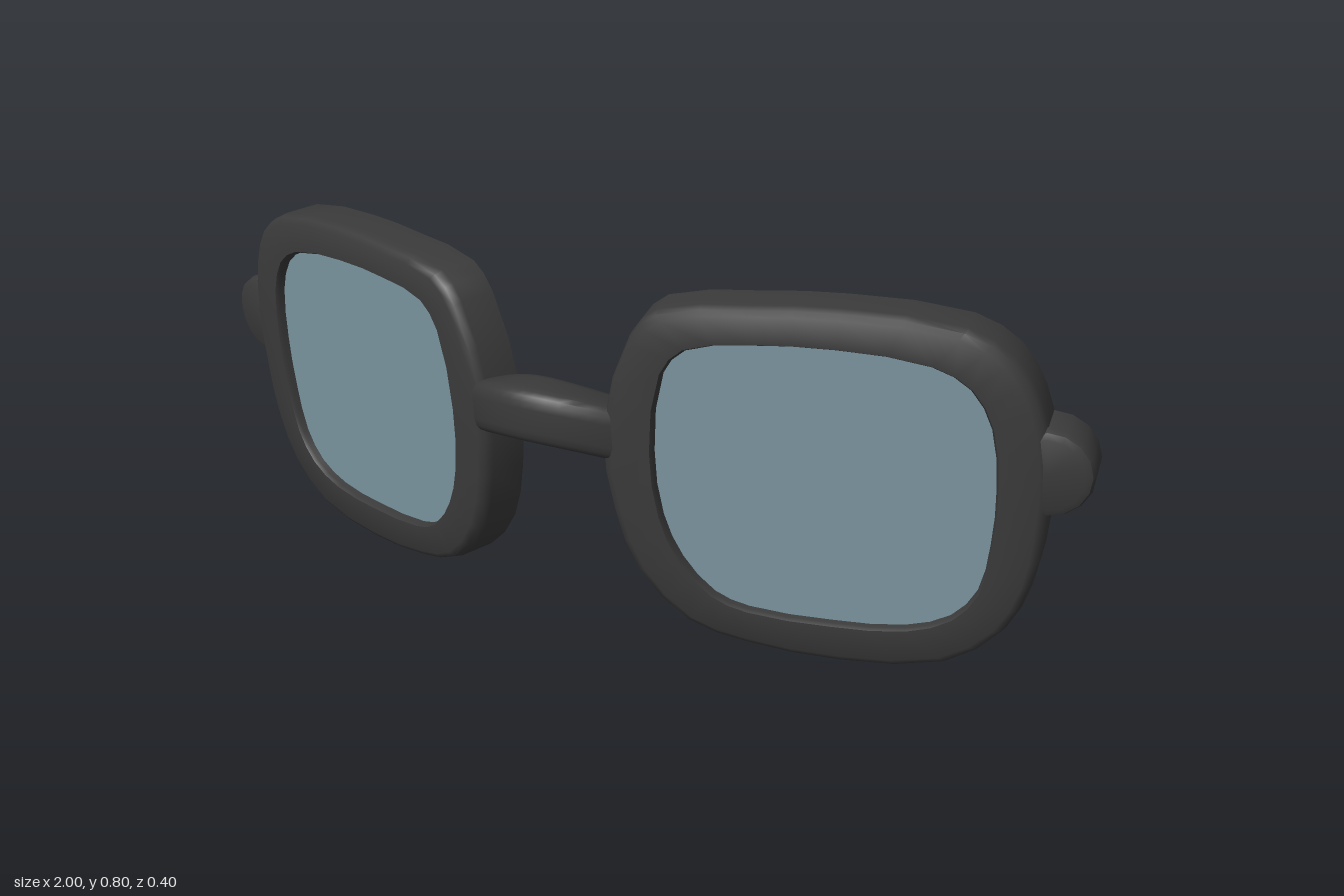
import * as THREE from 'three';
import { toCreasedNormals } from 'three/addons/utils/BufferGeometryUtils.js';

// Rim outlines for one side, paired point by point (x outward, y up)
const OUTER = smoothLoop([
  [-0.35, 0.69], [-0.296, 0.741], [-0.119, 0.758], [0.042, 0.761], [0.266, 0.738], [0.348, 0.689],
  [0.393, 0.611], [0.415, 0.5], [0.406, 0.354], [0.385, 0.25], [0.337, 0.152], [0.232, 0.075],
  [0.034, 0.054], [-0.149, 0.073], [-0.265, 0.109], [-0.36, 0.209], [-0.402, 0.337], [-0.415, 0.499],
]);
const INNER = smoothLoop([
  [-0.289, 0.619], [-0.242, 0.67], [-0.124, 0.687], [0.036, 0.688], [0.205, 0.667], [0.274, 0.628],
  [0.311, 0.556], [0.32, 0.441], [0.311, 0.331], [0.287, 0.229], [0.238, 0.171], [0.153, 0.141],
  [0.017, 0.136], [-0.143, 0.148], [-0.21, 0.174], [-0.27, 0.243], [-0.304, 0.329], [-0.315, 0.46],
]);
// Rim cross-section: [blend from outer to inner outline, z]
const SECTION = [[0, -0.05], [0, 0.025], [0.06, 0.042], [0.2, 0.05], [0.95, 0.05], [1, 0.042], [1, -0.05]];

// Two samples per control point, so paired outlines stay paired
function smoothLoop(points) {
  const curve = new THREE.CatmullRomCurve3(points.map(([x, y]) => new THREE.Vector3(x, y, 0)), true);
  return curve.getPoints(points.length * 2).slice(0, -1);
}

function rimGeometry(side) {
  const n = OUTER.length, m = SECTION.length;
  const positions = [], index = [];
  for (let i = 0; i < n; i++) {
    for (const [k, z] of SECTION) {
      const p = OUTER[i].clone().lerp(INNER[i], k);
      positions.push(side * p.x, p.y, z);
    }
    for (let j = 0; j < m; j++) {
      const i2 = (i + 1) % n, j2 = (j + 1) % m;
      const a = i * m + j, b = i * m + j2, c = i2 * m + j2, d = i2 * m + j;
      if (side > 0) index.push(a, b, c, a, c, d);
      else index.push(a, c, b, a, d, c);
    }
  }
  const g = new THREE.BufferGeometry();
  g.setAttribute('position', new THREE.Float32BufferAttribute(positions, 3));
  g.setIndex(index);
  return toCreasedNormals(g, 0.75);
}

// Thick lens filling most of the rim depth
function lensGeometry(side) {
  const shape = new THREE.Shape(INNER.map((p) => new THREE.Vector2(side * p.x, p.y)));
  return new THREE.ExtrudeGeometry(shape, { depth: 0.056, bevelEnabled: false }).translate(0, 0, -0.026);
}

// Round end piece with a softened front edge
function lugGeometry() {
  const profile = [[0, -0.047], [0.085, -0.047], [0.085, 0.03], [0.08, 0.042], [0.068, 0.047], [0, 0.047]];
  const g = new THREE.LatheGeometry(profile.map(([r, y]) => new THREE.Vector2(r, y)), 16);
  return toCreasedNormals(g.rotateX(Math.PI / 2), 0.75);
}

// Rounded bar bent forwards and arched upwards
function bridgeGeometry() {
  const w = 0.054, h = 0.055, r = 0.032, half = 0.14, bend = 0.058;
  const s = new THREE.Shape();
  s.moveTo(-w + r, -h);
  s.lineTo(w - r, -h);
  s.quadraticCurveTo(w, -h, w, -h + r);
  s.lineTo(w, h - r);
  s.quadraticCurveTo(w, h, w - r, h);
  s.lineTo(-w + r, h);
  s.quadraticCurveTo(-w, h, -w, h - r);
  s.lineTo(-w, -h + r);
  s.quadraticCurveTo(-w, -h, -w + r, -h);
  const g = new THREE.ExtrudeGeometry(s, { depth: 2 * half, steps: 14, curveSegments: 4, bevelEnabled: false });
  g.translate(0, 0, -half).rotateY(Math.PI / 2);
  const p = g.attributes.position;
  for (let i = 0; i < p.count; i++) {
    const x = p.getX(i), z = p.getZ(i), t = x / half;
    const angle = Math.atan(-2 * bend * t / half);
    p.setXYZ(i,
      x - z * Math.sin(angle),
      p.getY(i) + 0.518 - 0.036 * t * t,
      0.147 - bend * t * t + z * Math.cos(angle));
  }
  return toCreasedNormals(g, 0.75);
}

export function createModel() {
  const frameMat = new THREE.MeshStandardMaterial({ color: 0x3a3a3a });
  frameMat.name = 'charcoal frame';
  const lensMat = new THREE.MeshStandardMaterial({ color: 0x7a949e });
  lensMat.name = 'blue grey lens';

  const add = (parent, name, geometry, material) => {
    const mesh = new THREE.Mesh(geometry, material);
    mesh.name = name;
    parent.add(mesh);
    return mesh;
  };

  // The whole pair sits slightly rolled
  const glasses = new THREE.Group();
  glasses.name = 'glasses';
  glasses.rotation.z = 0.0803;
  glasses.position.set(0.042, 0, 0);

  // Left and right halves, swept back from the bridge
  for (const [side, label] of [[1, 'left'], [-1, 'right']]) {
    const half = new THREE.Group();
    half.name = label + 'Half';
    half.position.set(side * 0.524, 0, -0.016);
    half.rotation.y = side * 0.28;
    add(half, label + 'Rim', rimGeometry(side), frameMat);
    add(half, label + 'Lens', lensGeometry(side), lensMat);
    add(half, label + 'Lug', lugGeometry(), frameMat).position.set(side * 0.407, 0.477, 0);
    glasses.add(half);
  }
  add(glasses, 'bridge', bridgeGeometry(), frameMat);

  const model = new THREE.Group();
  model.name = 'model';
  model.add(glasses);
  return model;
}
